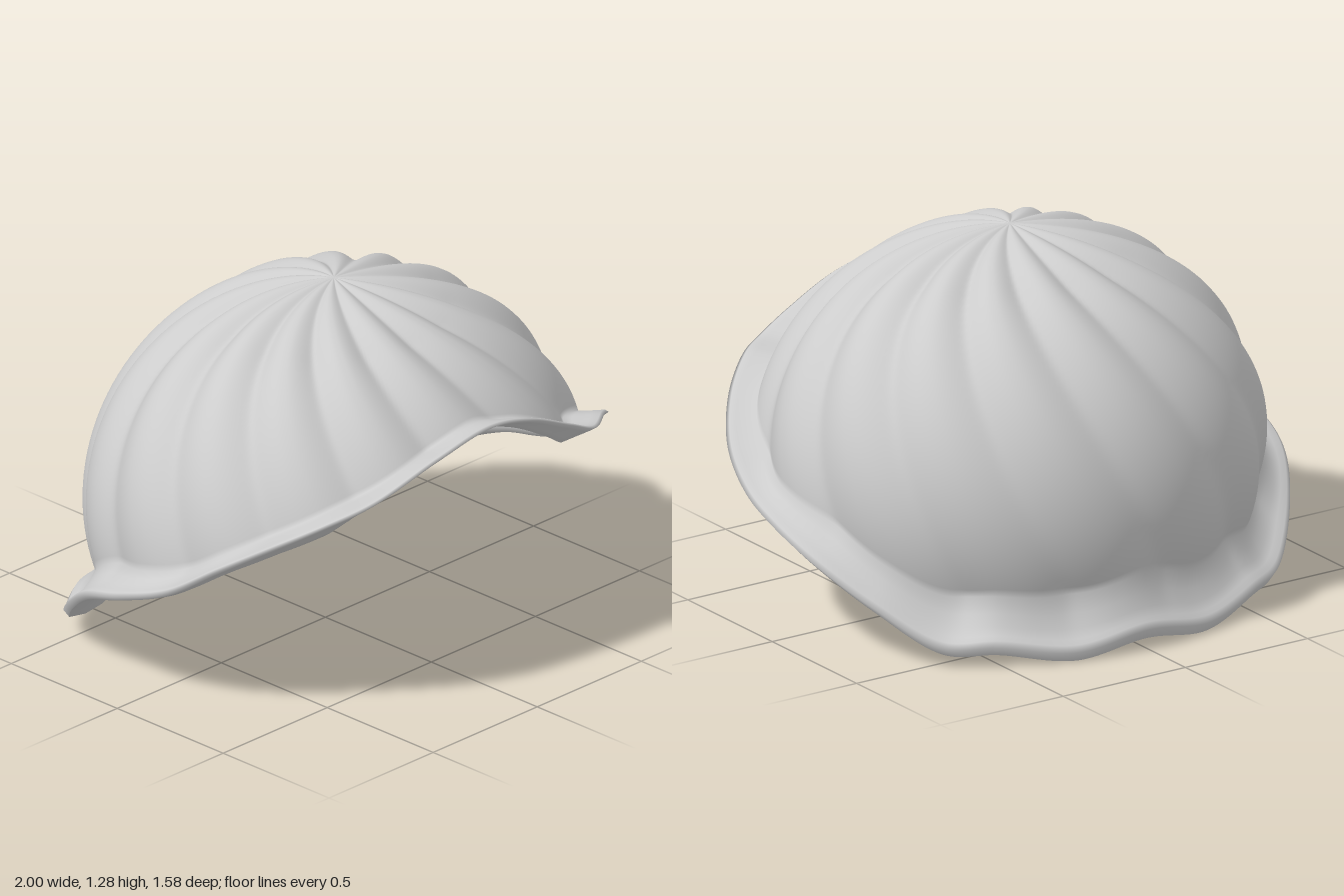
import * as THREE from 'three';
import { mergeVertices } from 'three/addons/utils/BufferGeometryUtils.js';

const COLUMNS = 392, ROWS = 48, LOBES = 14, SWIRL = 0.43;
const CENTRE = new THREE.Vector3(0, 0.5, 0.04);
const WIDTH = 0.895, HEIGHT = 0.785, FRONT = 0.825, BACK = 0.81;

// outer edge of the brim, from the front centre round by +x
const RIM = [
  [0, 0.98, 0.787], [0.2, 0.94, 0.787], [0.4, 0.85, 0.778], [0.53, 0.79, 0.755], [0.66, 0.77, 0.67],
  [0.8, 0.69, 0.55], [0.92, 0.58, 0.38], [0.985, 0.49, 0.18], [1, 0.43, 0], [0.97, 0.35, -0.2],
  [0.86, 0.23, -0.385], [0.69, 0.1, -0.555], [0.53, 0.1, -0.655], [0.27, 0.062, -0.755], [0, 0.1, -0.79],
  [-0.27, 0.062, -0.76], [-0.53, 0.1, -0.66], [-0.7, 0.11, -0.545], [-0.86, 0.24, -0.375],
  [-0.96, 0.36, -0.2], [-1, 0.43, 0], [-0.975, 0.5, 0.2], [-0.91, 0.61, 0.37], [-0.81, 0.7, 0.515],
  [-0.67, 0.79, 0.66], [-0.52, 0.85, 0.74], [-0.25, 0.94, 0.782],
];

// point on the ribbed ellipsoid: t runs round, phi runs down from the crown
function domePoint(t, phi, scale, rib) {
  const s0 = Math.sin((LOBES / 2) * (t - SWIRL * phi - 1.55));
  const wave = Math.min(1, Math.sqrt(s0 * s0 + 0.03));
  const ramp = Math.min(1, phi / 0.5) * (1 - 0.45 * THREE.MathUtils.smoothstep(phi, 0.8, 1.8));
  const s = scale * (1 - rib * ramp * (1 - wave));
  const depth = Math.cos(t) > 0 ? FRONT : BACK;
  return new THREE.Vector3(
    WIDTH * Math.sin(phi) * Math.sin(t) * s,
    HEIGHT * Math.cos(phi) * s,
    depth * Math.sin(phi) * Math.cos(t) * s
  ).add(CENTRE);
}

// closed ring of columns, each a list of points
function skin(columns) {
  const pos = [], index = [];
  const n = columns.length, m = columns[0].length;
  columns.forEach((col) => col.forEach((p) => pos.push(p.x, p.y, p.z)));
  for (let i = 0; i < n; i++) {
    const a = i * m, b = ((i + 1) % n) * m;
    for (let j = 0; j < m - 1; j++) {
      index.push(a + j, a + j + 1, b + j, b + j, a + j + 1, b + j + 1);
    }
  }
  const geo = new THREE.BufferGeometry();
  geo.setAttribute('position', new THREE.Float32BufferAttribute(pos, 3));
  geo.setIndex(index);
  const merged = mergeVertices(geo, 1e-5);
  merged.computeVertexNormals();
  return merged;
}

export function createModel() {
  const group = new THREE.Group();
  group.name = 'swirledCap';
  const grey = new THREE.MeshStandardMaterial({ color: 0xcccccc });
  grey.name = 'light grey';

  const curve = new THREE.CatmullRomCurve3(RIM.map((p) => new THREE.Vector3(...p)), true);
  const shell = [], lining = [];

  for (let i = 0; i < COLUMNS; i++) {
    const rim = curve.getPoint(i / COLUMNS);
    const dz = rim.z - CENTRE.z;
    const t = Math.atan2(rim.x / WIDTH, dz / (dz > 0 ? FRONT : BACK));
    const w = (1 + Math.cos(t)) / 2; // 1 at the front, 0 at the back
    const drop = 0.16 * Math.pow(1 - w, 1.4) - 0.01;
    const thick = 0.02 + 0.04 * Math.pow(1 - w, 2);
    const dip = Math.min(0.08, 0.015 + 0.45 * (1 - w));
    const baseY = rim.y + drop;
    const phiOut = Math.acos((baseY - CENTRE.y) / HEIGHT);
    const phiIn = Math.acos((baseY - dip - CENTRE.y) / HEIGHT);

    // ribbed dome and the inside of it
    const outer = [], inner = [];
    for (let j = 0; j <= ROWS; j++) {
      outer.push(domePoint(t, (phiOut * j) / ROWS, 1, 0.055));
      inner.push(domePoint(t, phiIn * (1 - j / ROWS), 0.955, 0.03));
    }

    // flared brim with a rounded lip
    const base = outer[ROWS], under = inner[0];
    const away = new THREE.Vector3(rim.x, 0, rim.z).normalize();
    const top = rim.clone().addScaledVector(away, -0.012);
    const low = rim.clone().addScaledVector(away, -0.02);
    low.y -= thick;
    const edge = rim.clone();
    edge.y -= thick * 0.4;
    const flare = (a, b, k) => {
      const p = a.clone().lerp(b, k);
      p.y -= Math.max(drop, 0) * 0.9 * k * (1 - k);
      return p;
    };
    shell.push([
      ...outer, flare(base, top, 0.25), flare(base, top, 0.5), flare(base, top, 0.75),
      top, edge, low,
    ]);
    lining.push([low, flare(under, low, 0.66), flare(under, low, 0.33), ...inner]);
  }

  const parts = { domeAndBrim: shell, innerLining: lining };
  for (const [name, columns] of Object.entries(parts)) {
    const mesh = new THREE.Mesh(skin(columns), grey);
    mesh.name = name;
    group.add(mesh);
  }
  return group;
}
